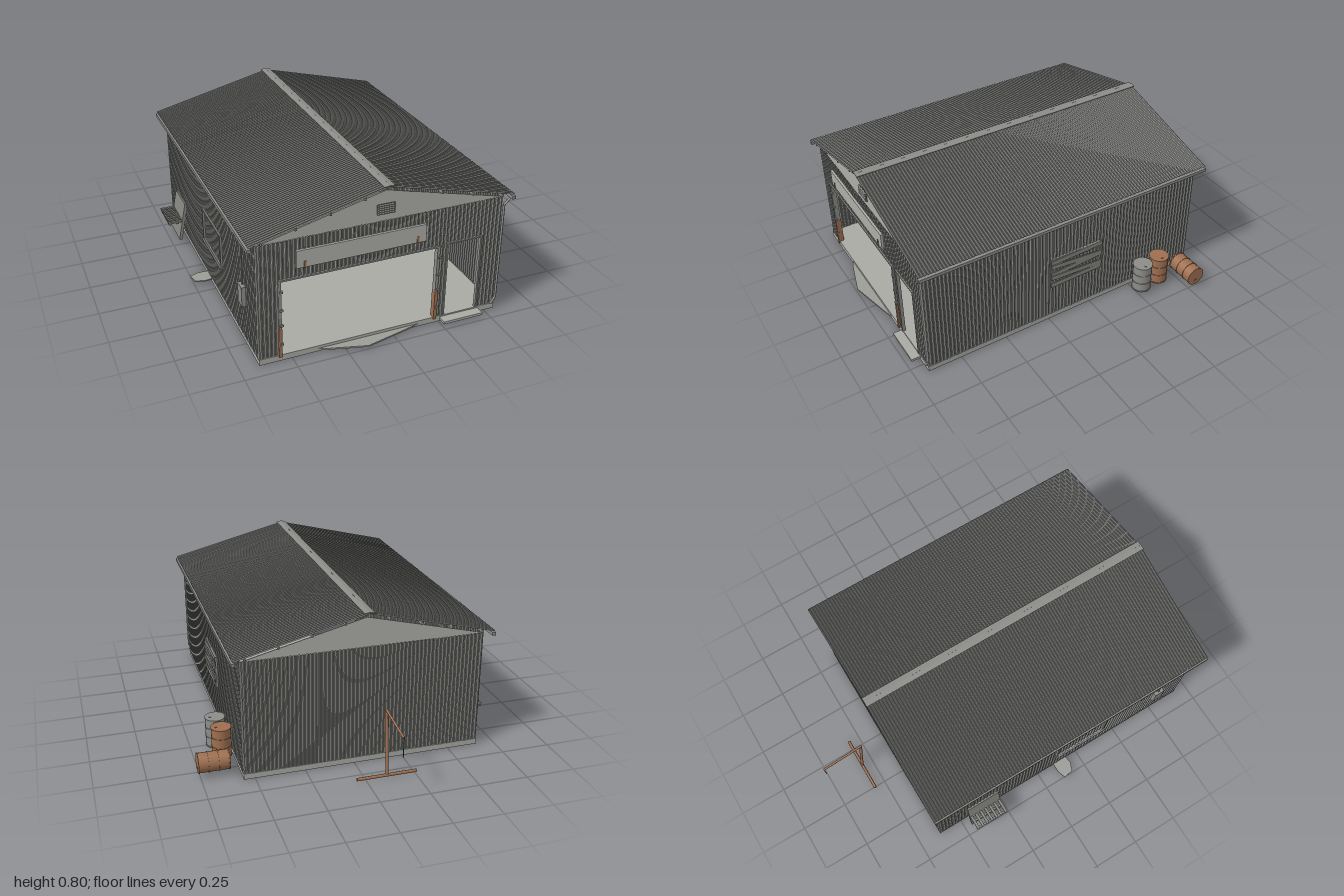
import * as THREE from 'three';

const mat = (name, color, side = THREE.FrontSide) => {
  const m = new THREE.MeshStandardMaterial({ color, side });
  m.name = name;
  return m;
};

export function createModel() {
  const root = new THREE.Group();
  root.name = 'shed';
  const wallMat = mat('wall steel', 0x8f908b, THREE.DoubleSide);
  const roofMat = mat('roof steel', 0x858682, THREE.DoubleSide);
  const trim = mat('trim grey', 0x8c8d89);
  const pale = mat('pale panel', 0xadaea7);
  const concrete = mat('concrete', 0xa9aaa3);
  const dirt = mat('dirt', 0x9c9d97, THREE.DoubleSide);
  const wood = mat('weathered wood', 0x858680);
  const rust = mat('rust', 0x9e6f50);
  const dark = mat('dark metal', 0x4c4d4b);

  const add = (name, geo, m, x = 0, y = 0, z = 0, parent = root) => {
    const mesh = new THREE.Mesh(geo, m);
    mesh.name = name;
    mesh.position.set(x, y, z);
    parent.add(mesh);
    return mesh;
  };
  // Box given by its min and max on each axis
  const span = (name, m, x0, x1, y0, y1, z0, z1) =>
    add(name, new THREE.BoxGeometry(x1 - x0, y1 - y0, z1 - z0), m, (x0 + x1) / 2, (y0 + y1) / 2, (z0 + z1) / 2);
  // Straight round bar between two points
  const rod = (name, m, a, b, r) => {
    const p = new THREE.Vector3(...a), q = new THREE.Vector3(...b);
    const mesh = add(name, new THREE.CylinderGeometry(r, r, p.distanceTo(q), 8), m);
    mesh.position.copy(p).add(q).multiplyScalar(0.5);
    mesh.quaternion.setFromUnitVectors(new THREE.Vector3(0, 1, 0), q.sub(p).normalize());
    return mesh;
  };
  // Sheet with trapezoid ribs running up its height
  const corrugated = (w, h, pitch, amp) => {
    const n = Math.max(4, Math.round(w / pitch) * 4);
    const g = new THREE.PlaneGeometry(w, h, n, 1);
    const p = g.attributes.position;
    for (let i = 0; i < p.count; i++) p.setZ(i, [0, 0, amp, amp][(i % (n + 1)) % 4]);
    const flat = g.toNonIndexed();
    flat.computeVertexNormals();
    return flat;
  };

  const CX = -0.052, X0 = -0.655, X1 = 0.552, Z0 = -0.628, Z1 = 0.922, Y0 = 0.03, Y1 = 0.615;
  const ZM = (Z0 + Z1) / 2;

  // Floor slab
  span('floorSlab', concrete, X0 - 0.003, X1 + 0.003, 0, Y0, Z0 - 0.004, Z1 + 0.006);

  // Front wall in panels around the vehicle opening and the doorway
  const front = [
    [X0, -0.555, Y0, Y1], [-0.555, 0.235, 0.42, Y1], [0.235, 0.272, Y0, Y1],
    [0.272, 0.45, 0.425, Y1], [0.45, X1, Y0, Y1],
  ];
  for (const [a, b, c, d] of front)
    add('frontWall', corrugated(b - a, d - c, 0.02, 0.006), wallMat, (a + b) / 2, (c + d) / 2, Z1);
  const wallY = (Y0 + Y1) / 2, wallH = Y1 - Y0;
  add('backWall', corrugated(X1 - X0, wallH, 0.02, 0.006).rotateY(Math.PI), wallMat, CX, wallY, Z0);
  for (const s of [-1, 1])
    add('sideWall', corrugated(Z1 - Z0, wallH, 0.02, 0.006).rotateY(s * Math.PI / 2), wallMat, s < 0 ? X0 : X1, wallY, ZM);

  // Gables with a gap below the roof
  const tri = new THREE.Shape([[X0, Y1], [X1, Y1], [CX, 0.765]].map(([x, y]) => new THREE.Vector2(x, y)));
  for (const z of [Z0 - 0.003, Z1 - 0.002])
    add('gable', new THREE.ExtrudeGeometry(tri, { depth: 0.005, bevelEnabled: false }), pale, 0, 0, z);

  // Louvred vent
  span('ventBack', dark, -0.096, -0.01, 0.65, 0.7, Z1, Z1 + 0.006);
  for (let i = 0; i < 5; i++) {
    const slat = span('ventSlat', trim, -0.096, -0.01, 0.652 + i * 0.01, 0.657 + i * 0.01, Z1 + 0.004, Z1 + 0.012);
    slat.rotation.x = 0.4;
  }

  // Roof slopes, purlins, gutters
  const rise = 0.162, run = 0.647, slope = Math.hypot(rise, run), tilt = Math.atan2(run, rise);
  for (const s of [-1, 1]) {
    const sheet = corrugated(1.618, slope, 0.016, 0.005).rotateY(s * Math.PI / 2).rotateZ(s * tilt);
    add('roofSlope', sheet, roofMat, CX + s * run / 2, 0.792 - rise / 2, 0.146);
    for (const d of [0.11, 0.27, 0.43, 0.588]) {
      const y = 0.79 - d * rise / run;
      span('purlin', trim, CX + s * d - 0.004, CX + s * d + 0.004, y - 0.02, y, -0.65, 0.945);
    }
    const gx = CX + s * 0.645;
    span('gutter', trim, gx - 0.009, gx + 0.009, 0.606, 0.623, -0.66, 0.955);
    const cap = add('ridgeCap', new THREE.BoxGeometry(0.027, 0.004, 1.622), trim, CX + s * 0.0125, 0.797, 0.146);
    cap.rotation.z = -s * 0.15;
  }

  // Downpipe at the front right corner
  const pipe = [[0.593, 0.608], [0.558, 0.572], [0.558, 0.065], [0.536, 0.03]];
  for (let i = 0; i < 3; i++)
    rod('downpipe', trim, [...pipe[i], 0.93], [...pipe[i + 1], 0.93], 0.006);

  // Opening frame with rusted feet
  for (const x of [-0.556, 0.226]) {
    span('openingJamb', trim, x - 0.007, x + 0.007, 0.175, 0.42, 0.905, 0.932);
    span('rustedJambFoot', rust, x - 0.008, x + 0.008, 0.02, 0.175, 0.904, 0.933);
    for (const y of [0.085, 0.185, 0.265, 0.36])
      span('hinge', trim, x - 0.002, x + 0.014, y, y + 0.01, 0.925, 0.937);
  }
  span('openingLintel', trim, -0.565, 0.237, 0.417, 0.425, 0.91, 0.934);

  // Doorway frame and step
  for (const x of [0.272, 0.45]) span('doorJamb', trim, x - 0.004, x + 0.004, Y0, 0.43, 0.915, 0.932);
  span('doorHead', trim, 0.268, 0.454, 0.424, 0.431, 0.915, 0.934);
  span('doorStep', concrete, 0.255, 0.465, 0.01, 0.023, 0.925, 0.975);

  // Blank board above the opening, with rust marks
  span('signBoard', pale, -0.48, 0.15, 0.473, 0.56, 0.928, 0.94);
  for (const x of [-0.44, 0.108]) span('rustMark', rust, x - 0.005, x + 0.005, 0.473, 0.505, 0.939, 0.943);

  // Worn dirt apron at the entrance
  const apron = new THREE.Shape([[-0.44, 0.9], [-0.33, 0.945], [-0.15, 0.995], [0.07, 0.945], [0.25, 0.9]]
    .map(([x, z]) => new THREE.Vector2(x, -z)));
  const apronGeo = new THREE.ExtrudeGeometry(apron, { depth: 0.008, bevelEnabled: false }).rotateX(-Math.PI / 2);
  add('dirtApron', apronGeo, dirt, 0, 0.007, 0);

  // Window frames on both sides
  const frame = (x, za, zb, ya, yb) => {
    for (const y of [ya, yb]) span('windowRail', trim, x - 0.006, x + 0.006, y - 0.005, y + 0.005, za, zb);
    for (const z of [za, zb]) span('windowStile', trim, x - 0.006, x + 0.006, ya, yb, z - 0.005, z + 0.005);
  };
  frame(X1 + 0.007, -0.045, 0.235, 0.22, 0.385);
  frame(X0 - 0.007, 0.1, 0.4, 0.215, 0.385);
  span('windowSill', trim, X0 - 0.02, X0, 0.207, 0.215, 0.09, 0.41);

  // Boards nailed across the right window
  const boards = [[0.375, 0.03], [0.335, -0.09], [0.305, 0.07], [0.27, -0.06], [0.232, 0.02]];
  boards.forEach(([y, a], i) => {
    const b = add('windowBoard', new THREE.BoxGeometry(0.006, 0.026, 0.3), wood, X1 + 0.014 + (i % 2) * 0.004, y, 0.097);
    b.rotation.x = a;
  });

  // Meter box and conduit on the left wall
  span('meterBox', trim, -0.68, X0, 0.22, 0.322, 0.715, 0.77);
  rod('conduit', trim, [-0.666, 0.32, 0.742], [-0.666, 0.515, 0.742], 0.004);

  // Slatted pallet shelf with a board leaning behind it
  const lean = add('leaningBoard', new THREE.BoxGeometry(0.016, 0.215, 0.19), wood, -0.682, 0.123, -0.365);
  lean.rotation.z = -0.2;
  for (let i = 0; i < 7; i++) {
    const z = -0.45 + i * 0.0285;
    span('shelfSlat', wood, -0.765, -0.685, 0.124, 0.134, z - 0.007, z + 0.007);
  }
  for (const x of [-0.757, -0.715]) span('shelfBearer', wood, x - 0.006, x + 0.006, 0.116, 0.125, -0.458, -0.272);

  // Scrap sheet on the ground by the left wall
  const scrap = new THREE.Shape([[-0.755, 0.115], [-0.745, 0.17], [-0.7, 0.187], [-0.65, 0.18], [-0.65, 0.1], [-0.71, 0.1]]
    .map(([x, z]) => new THREE.Vector2(x, -z)));
  add('scrapSheet', new THREE.ExtrudeGeometry(scrap, { depth: 0.006, bevelEnabled: false }).rotateX(-Math.PI / 2), dirt, 0, 0.013, 0);

  // Drums with raised hoops
  const drum = (name, m, x, y, z, lying) => {
    const g = new THREE.Group();
    g.name = name;
    add('drumBody', new THREE.CylinderGeometry(0.049, 0.049, 0.153, 20), m, 0, 0, 0, g);
    for (const h of [-0.074, -0.025, 0.025, 0.074])
      add('drumHoop', new THREE.CylinderGeometry(0.0515, 0.0515, 0.006, 20), m, 0, h, 0, g);
    add('drumBung', new THREE.CylinderGeometry(0.007, 0.007, 0.004, 8), m, 0.025, 0.078, 0, g);
    g.position.set(x, y, z);
    if (lying) g.rotation.z = -Math.PI / 2;
    root.add(g);
  };
  drum('greyDrum', trim, 0.623, 0.098, -0.283, false);
  drum('rustDrum', rust, 0.614, 0.098, -0.396, false);
  drum('fallenRustDrum', rust, 0.683, 0.071, -0.535, true);

  // Rusted bent post on a ground bar behind the shed
  const px = -0.105;
  rod('groundBar', rust, [-0.257, 0.015, -0.81], [0.048, 0.015, -0.81], 0.008);
  rod('bentPost', rust, [px, 0.01, -0.81], [px, 0.35, -0.775], 0.008);
  rod('bentArm', rust, [px, 0.348, -0.77], [px, 0.315, -0.998], 0.006);
  rod('hangingWire', dark, [px, 0.315, -0.998], [px, 0.215, -0.998], 0.002);

  return root;
}
